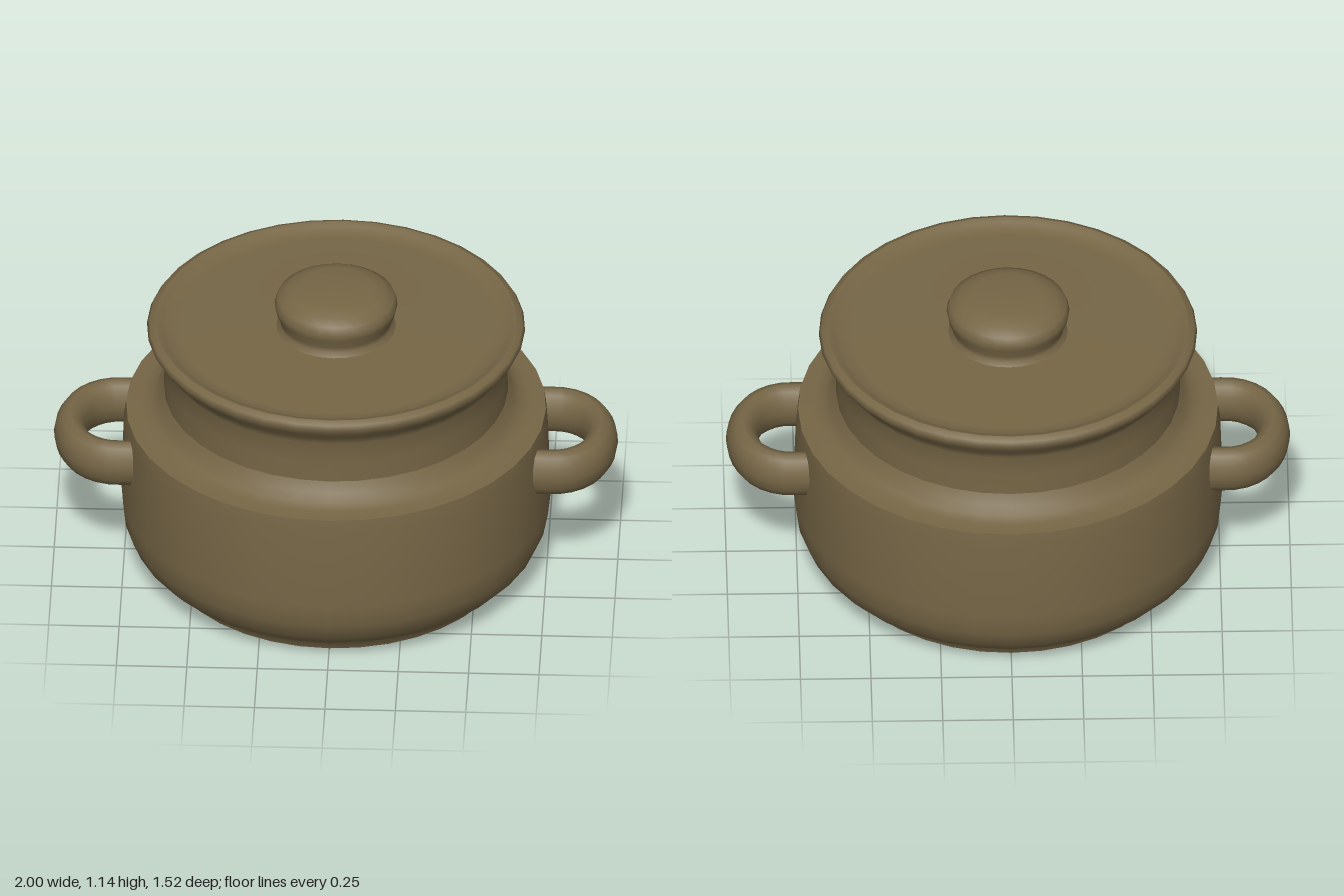
import * as THREE from 'three';

const clay = new THREE.MeshStandardMaterial({ color: 0x766646 });
clay.name = 'brown clay';

// Turned part from [radius, height] pairs, listed bottom to top on the outside
function turned(name, profile, segments = 36) {
  const points = profile.map(([r, y]) => new THREE.Vector2(r, y));
  const mesh = new THREE.Mesh(new THREE.LatheGeometry(points, segments), clay);
  mesh.name = name;
  return mesh;
}

// Looped side handle with an oval section, taller than it is thick
function handle(name, side) {
  const half = [[0.68, 0.2], [0.82, 0.195], [0.905, 0.13]];
  const path = [...half, [0.943, 0], ...half.map(([x, z]) => [x, -z]).reverse()];
  const curve = new THREE.CatmullRomCurve3(path.map(([x, z]) => new THREE.Vector3(x, 0, z)));
  const geometry = new THREE.TubeGeometry(curve, 20, 0.058, 12, false);
  geometry.scale(1, 1.5, 1);
  const mesh = new THREE.Mesh(geometry, clay);
  mesh.name = name;
  mesh.position.y = 0.5;
  if (side < 0) mesh.rotation.y = Math.PI;
  return mesh;
}

export function createModel() {
  const pot = new THREE.Group();
  pot.name = 'lidded pot';

  // Separate turned pieces keep the base, shoulder and rim edges sharp
  pot.add(
    turned('base', [[0, 0], [0.61, 0]]),
    turned('foot', [[0.61, 0], [0.62, 0.025], [0.64, 0.048]]),
    turned('belly', [
      [0.64, 0.048], [0.685, 0.075], [0.725, 0.12], [0.752, 0.185], [0.761, 0.27],
      [0.757, 0.45], [0.752, 0.58], [0.745, 0.632],
    ]),
    turned('shoulder', [[0.745, 0.632], [0.69, 0.634], [0.655, 0.647], [0.63, 0.673], [0.61, 0.71]]),
    turned('neck', [
      [0.61, 0.71], [0.609, 0.79], [0.61, 0.87], [0.63, 0.905], [0.655, 0.935],
      [0.671, 0.965], [0.662, 0.98], [0.64, 0.99],
    ]),
    turned('lid', [[0.64, 0.99], [0.62, 0.983], [0.6, 0.969], [0.56, 0.965], [0.3, 0.97], [0, 0.972]]),
    turned('knob', [
      [0.215, 0.968], [0.198, 0.985], [0.199, 1.005], [0.213, 1.04], [0.218, 1.065],
      [0.208, 1.095], [0.175, 1.115], [0.125, 1.133], [0, 1.136],
    ], 28),
  );

  pot.add(handle('leftHandle', 1), handle('rightHandle', -1));
  return pot;
}
